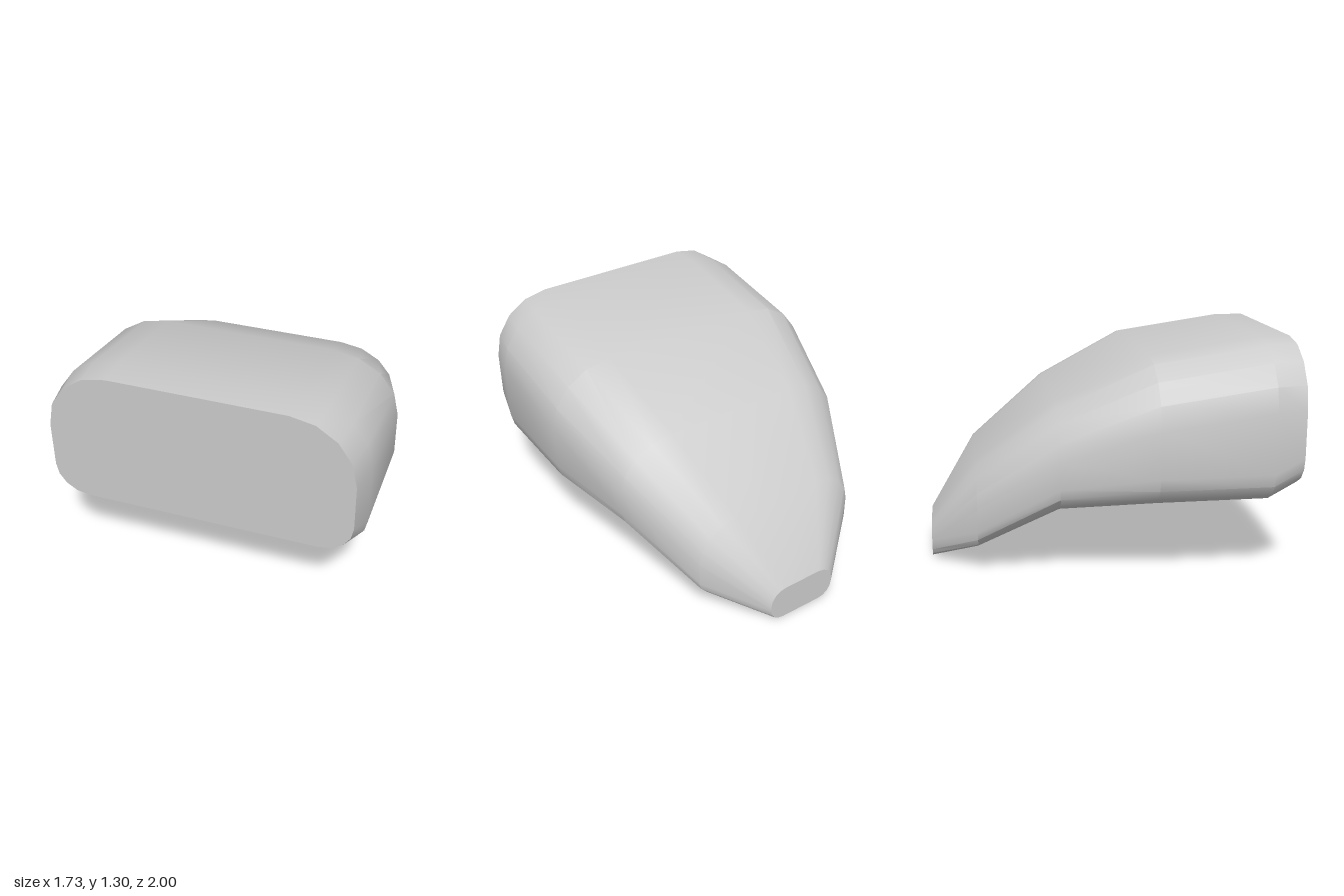
import * as THREE from 'three';
import { toCreasedNormals } from 'three/addons/utils/BufferGeometryUtils.js';

// Cross-sections from front to tip:
// z, half width, bottom, top, top corner (rx, ry), bottom corner (rx, ry)
const SECTIONS = [
  [1.0, 0.83, 0.525, 1.305, 0.35, 0.35, 0.18, 0.17],
  [0.83, 0.865, 0.44, 1.305, 0.38, 0.35, 0.21, 0.18],
  [0.21, 0.865, 0.44, 1.215, 0.38, 0.34, 0.21, 0.18],
  [-0.3, 0.735, 0.395, 0.96, 0.33, 0.27, 0.19, 0.15],
  [-0.74, 0.52, 0.135, 0.61, 0.24, 0.22, 0.16, 0.12],
  [-1.0, 0.215, 0.0, 0.215, 0.1, 0.1, 0.085, 0.09],
];
const STEPS = 4; // segments per rounded corner

// Rounded outline, counter-clockwise seen from the front
function outline([z, w, bottom, top, tx, ty, bx, by]) {
  const corners = [
    [w - tx, top - ty, tx, ty],
    [tx - w, top - ty, tx, ty],
    [bx - w, bottom + by, bx, by],
    [w - bx, bottom + by, bx, by],
  ];
  const points = [];
  corners.forEach(([cx, cy, rx, ry], quarter) => {
    for (let i = 0; i <= STEPS; i++) {
      const a = (quarter + i / STEPS) * Math.PI / 2;
      points.push([cx + rx * Math.cos(a), cy + ry * Math.sin(a), z]);
    }
  });
  return points;
}

// Skin joining successive outlines, closed by a flat cap at each end
function loft(rings) {
  const n = rings[0].length;
  const positions = rings.flat(2);
  const index = [];
  for (let r = 0; r < rings.length - 1; r++) {
    for (let i = 0; i < n; i++) {
      const j = (i + 1) % n;
      const a = r * n + i, b = r * n + j;
      index.push(a, a + n, b, b, a + n, b + n);
    }
  }
  const last = (rings.length - 1) * n;
  for (let i = 1; i < n - 1; i++) {
    index.push(0, i, i + 1);
    index.push(last, last + i + 1, last + i);
  }
  const geometry = new THREE.BufferGeometry();
  geometry.setAttribute('position', new THREE.Float32BufferAttribute(positions, 3));
  geometry.setIndex(index);
  return toCreasedNormals(geometry, 0.47);
}

export function createModel() {
  const group = new THREE.Group();
  group.name = 'taperedShell';
  // Curved body drooping to a narrow blunt tip at the back
  const body = new THREE.Mesh(
    loft(SECTIONS.map(outline)),
    new THREE.MeshStandardMaterial({ color: 0xcccccc })
  );
  body.name = 'curvedBody';
  group.add(body);
  return group;
}
